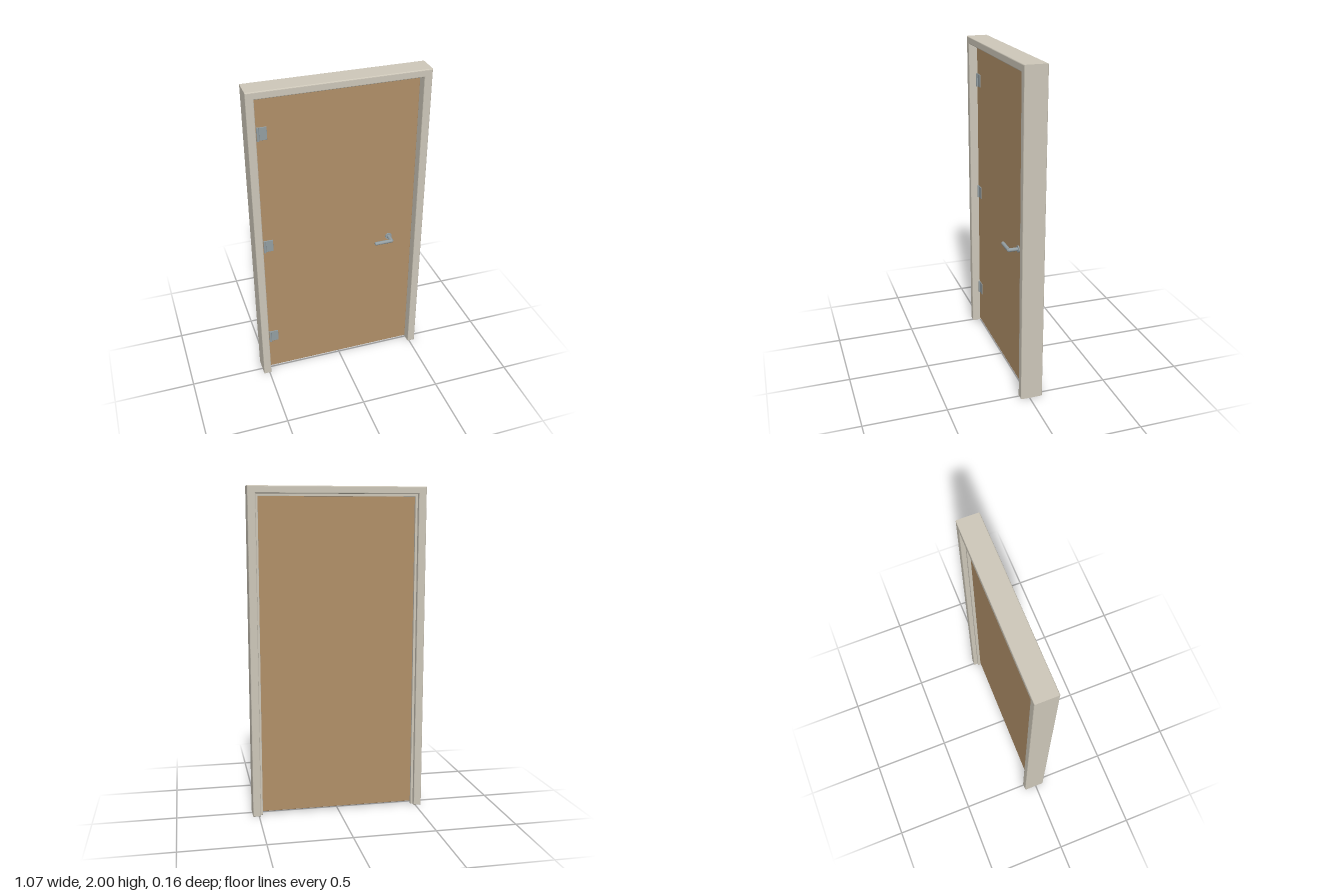
import * as THREE from 'three';
import { RoundedBoxGeometry } from 'three/addons/geometries/RoundedBoxGeometry.js';

const mat = (color) => new THREE.MeshStandardMaterial({ color });

// Upside-down U outline, open at the floor
function archShape(outerX, top, innerX, innerTop) {
  return new THREE.Shape([
    [-outerX, 0], [-innerX, 0], [-innerX, innerTop], [innerX, innerTop],
    [innerX, 0], [outerX, 0], [outerX, top], [-outerX, top],
  ].map(([x, y]) => new THREE.Vector2(x, y)));
}

// Bevelled U-shaped surround between two z positions
function surround(shape, z0, z1, bevel) {
  const geo = new THREE.ExtrudeGeometry(shape, {
    depth: z1 - z0 - 2 * bevel, bevelEnabled: true, bevelThickness: bevel,
    bevelSize: bevel, bevelOffset: -bevel, bevelSegments: 3,
  });
  return geo.translate(0, 0, z0 + bevel);
}

export function createModel() {
  const model = new THREE.Group();
  const frameMat = mat(0xcdc7b9), doorMat = mat(0xb08f68), metal = mat(0x939ea2);

  const add = (parent, name, geo, material, x = 0, y = 0, z = 0) => {
    const mesh = new THREE.Mesh(geo, material);
    mesh.name = name;
    mesh.position.set(x, y, z);
    parent.add(mesh);
    return mesh;
  };

  // Frame and the stop bead the door closes against
  add(model, 'frame', surround(archShape(0.537, 2, 0.489, 1.955), -0.08, 0.055, 0.006), frameMat);
  add(model, 'doorStop', surround(archShape(0.492, 1.958, 0.475, 1.94), -0.053, -0.034, 0.002), frameMat);

  // Door leaf
  add(model, 'doorLeaf', new RoundedBoxGeometry(0.97, 1.937, 0.037, 2, 0.003), doorMat, 0, 0.9835, -0.0145);

  // Three hinges: a leaf plate and a knuckle each
  for (const y of [0.27, 0.98, 1.73]) {
    const hinge = new THREE.Group();
    hinge.name = 'hinge';
    hinge.position.set(-0.47, y, 0.004);
    add(hinge, 'hingePlate', new RoundedBoxGeometry(0.052, 0.08, 0.006, 2, 0.002), metal, 0.026, 0, 0.001);
    add(hinge, 'hingeKnuckle', new THREE.CylinderGeometry(0.008, 0.008, 0.082, 20), metal, 0, 0, 0.004);
    model.add(hinge);
  }

  // Lever handle: rosette, neck and grip
  const handle = new THREE.Group();
  handle.name = 'handle';
  handle.position.set(0.329, 0.89, 0.004);
  const disc = (r, h) => new THREE.CylinderGeometry(r, r, h, 32).rotateX(Math.PI / 2);
  add(handle, 'rosette', disc(0.021, 0.008), metal, 0, 0, 0.004);
  add(handle, 'neck', disc(0.011, 0.06), metal, 0, 0, 0.032);
  const grip = new THREE.CapsuleGeometry(0.011, 0.108, 6, 20).rotateZ(Math.PI / 2);
  // Flatten the rounded grip ends
  const p = grip.attributes.position;
  for (let i = 0; i < p.count; i++) {
    const x = p.getX(i), over = Math.abs(x) - 0.054;
    if (over > 0) p.setX(i, Math.sign(x) * (0.054 + over * 0.45));
  }
  grip.computeVertexNormals();
  add(handle, 'grip', grip, metal, -0.054, 0, 0.061);
  model.add(handle);

  return model;
}
